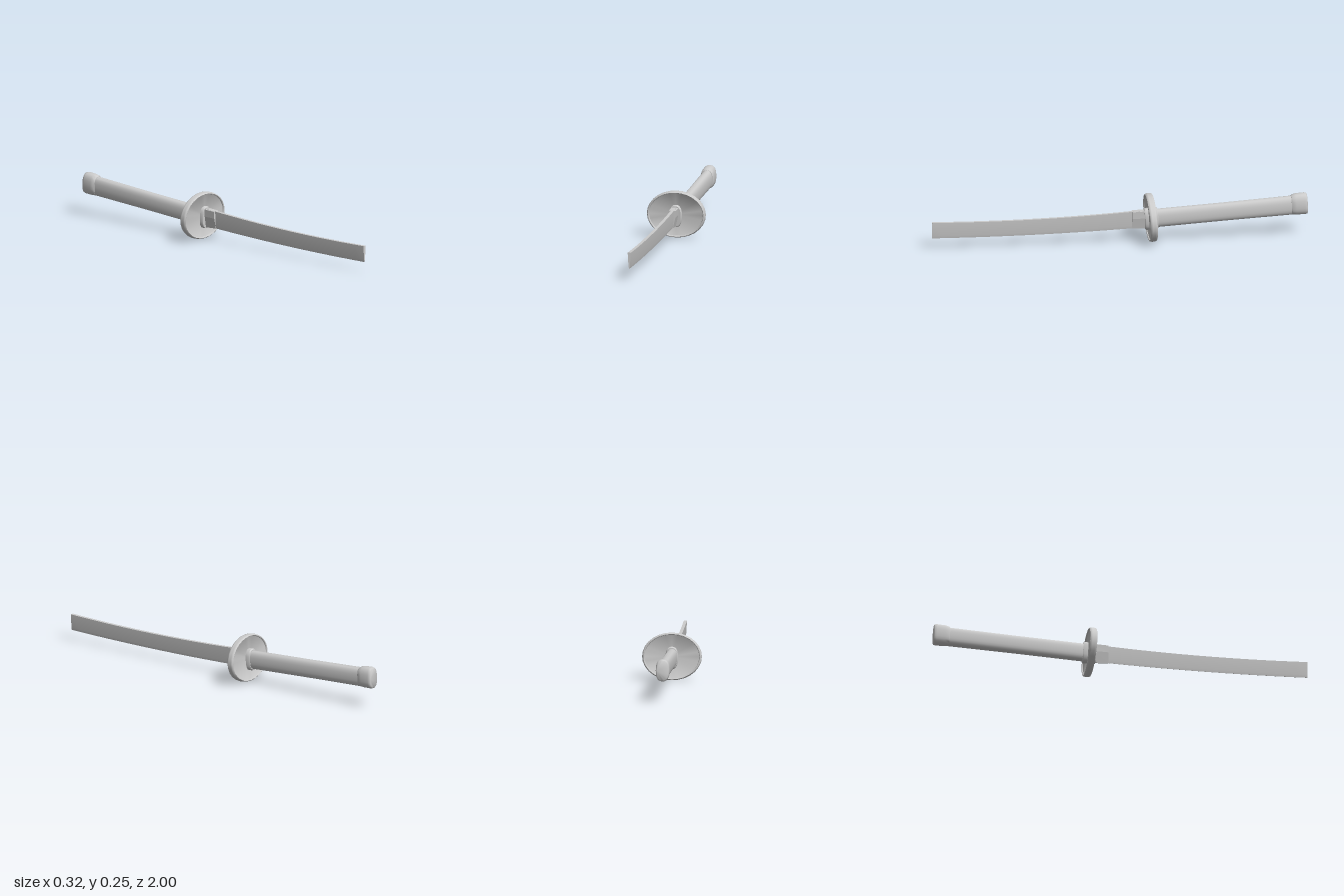
import * as THREE from 'three';
import { toCreasedNormals } from 'three/addons/utils/BufferGeometryUtils.js';

const material = new THREE.MeshStandardMaterial({ color: 0xcccccc });

// Skin a list of convex rings (anticlockwise seen from +z, ordered from low z to high z) and cap both ends.
function loft(rings, crease = 0.6) {
  const n = rings[0].length, last = (rings.length - 1) * n, index = [];
  for (let i = 0; i < rings.length - 1; i++) {
    for (let j = 0; j < n; j++) {
      const a = i * n + j, b = i * n + (j + 1) % n;
      index.push(a, b, b + n, a, b + n, a + n);
    }
  }
  for (let j = 1; j < n - 1; j++) {
    index.push(0, j + 1, j, last, last + j, last + j + 1);
  }
  const g = new THREE.BufferGeometry();
  g.setAttribute('position', new THREE.Float32BufferAttribute(rings.flat(2), 3));
  g.setIndex(index);
  return toCreasedNormals(g, crease);
}

// Rounded oval ring, squarer than an ellipse.
function oval(z, halfW, halfH, y = 0, sides = 24) {
  const soften = (v) => Math.sign(v) * Math.pow(Math.abs(v), 0.78);
  return Array.from({ length: sides }, (_, i) => {
    const t = (i / sides) * Math.PI * 2;
    return [halfW * soften(Math.cos(t)), y + halfH * soften(Math.sin(t)), z];
  });
}

// Wedge ring: cutting edge below, ridge in between, flat spine on top.
function wedge(z, bottom, ridge, top, edgeW, ridgeW, topW) {
  return [
    [edgeW, bottom, z], [ridgeW, ridge, z], [topW, top, z],
    [-topW, top, z], [-ridgeW, ridge, z], [-edgeW, bottom, z],
  ];
}

function part(name, geometry) {
  const mesh = new THREE.Mesh(geometry, material);
  mesh.name = name;
  return mesh;
}

export function createModel() {
  const model = new THREE.Group();
  model.name = 'sword';

  // Gently curved blade, cut off square at the front
  const bladeRings = [];
  for (let i = 0; i <= 20; i++) {
    const z = -0.16 + 1.16 * (i / 20), d = (z - 0.65) ** 2;
    const top = 0.141 + 0.045 * d, bottom = 0.055 + 0.03 * d;
    bladeRings.push(wedge(z, bottom, bottom + 0.17 * (top - bottom), top, 0.0005, 0.004, 0.0085));
  }
  model.add(part('blade', loft(bladeRings, 0.2)));

  // Collar wrapping the root of the blade
  model.add(part('bladeCollar', loft([
    wedge(-0.15, 0.066, 0.128, 0.168, 0.003, 0.018, 0.021),
    wedge(-0.064, 0.07, 0.126, 0.164, 0.003, 0.016, 0.019),
  ], 0.1)));

  // Guard and grip share an axis that rises towards the back
  const hilt = new THREE.Group();
  hilt.name = 'hilt';
  hilt.position.set(0, 0.127, -0.163);
  hilt.rotation.x = 0.055;
  model.add(hilt);

  // Oval guard: thin plate with a thick rounded rim
  const profile = [
    [0, -0.012], [0.145, -0.012], [0.147, -0.017], [0.151, -0.019], [0.156, -0.015], [0.158, -0.007],
    [0.158, 0.007], [0.156, 0.015], [0.151, 0.019], [0.147, 0.017], [0.145, 0.012], [0, 0.012],
  ].map(([r, y]) => new THREE.Vector2(r, y));
  const guard = new THREE.LatheGeometry(profile, 28);
  guard.rotateX(Math.PI / 2);
  guard.scale(1, 0.126 / 0.158, 1);
  hilt.add(part('guard', toCreasedNormals(guard, 0.7)));

  // Oval spacers in front of and behind the guard
  hilt.add(part('spacer', loft([
    oval(-0.038, 0.03, 0.054, -0.006),
    oval(-0.032, 0.033, 0.059, -0.006),
    oval(0.026, 0.033, 0.059, -0.006),
    oval(0.032, 0.03, 0.056, -0.006),
  ])));

  // Grip
  hilt.add(part('grip', loft([
    oval(-0.76, 0.029, 0.051, -0.004),
    oval(-0.4, 0.028, 0.049, -0.005),
    oval(-0.03, 0.029, 0.049, -0.006),
  ])));

  // End cap, slightly flared with softened edges
  hilt.add(part('endCap', loft([
    oval(-0.835, 0.03, 0.051),
    oval(-0.831, 0.034, 0.056),
    oval(-0.82, 0.036, 0.058),
    oval(-0.775, 0.036, 0.057),
    oval(-0.757, 0.035, 0.054, -0.001),
    oval(-0.75, 0.031, 0.051, -0.003),
  ], 0.8)));

  return model;
}
